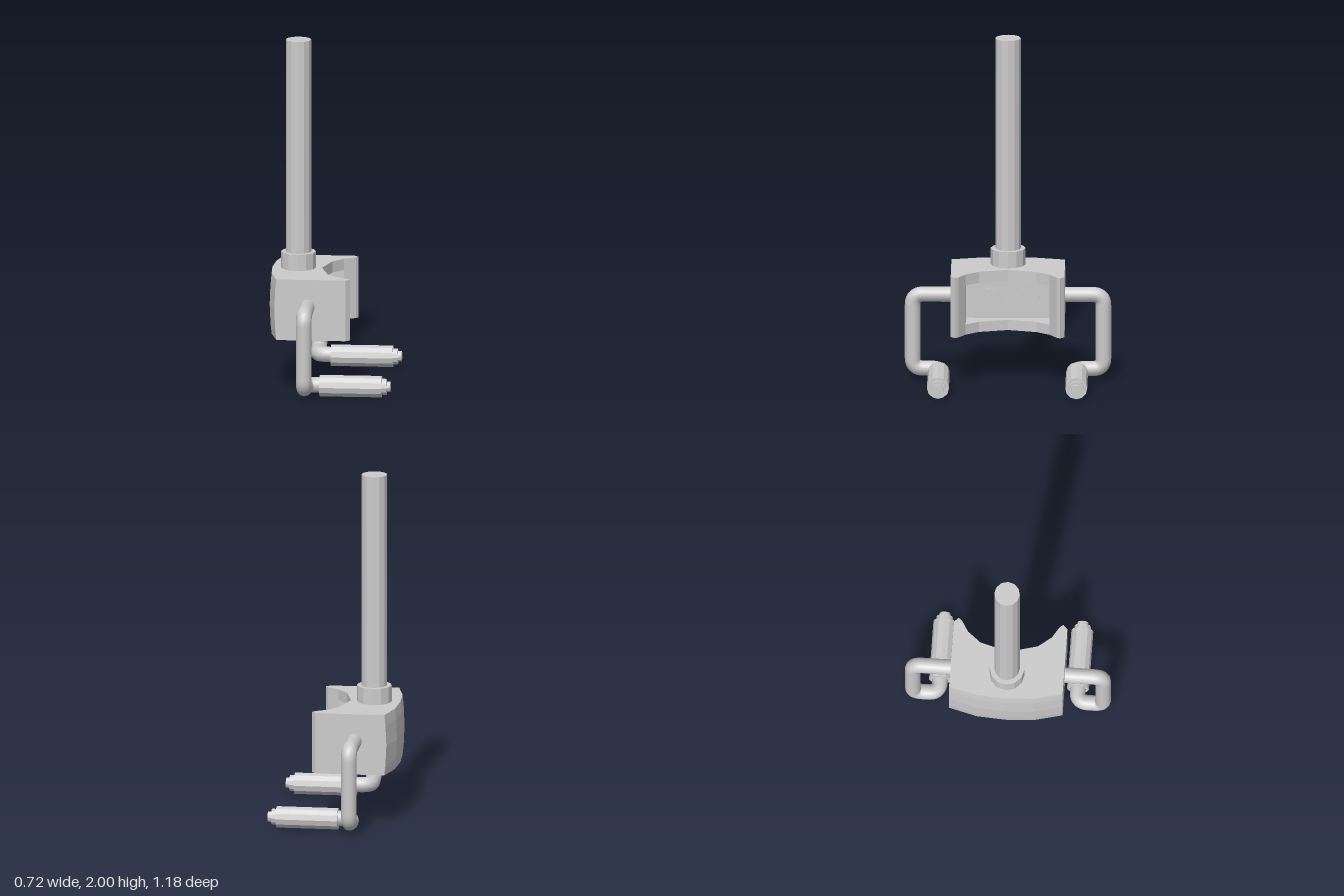
import * as THREE from 'three';

export function createModel() {
  const model = new THREE.Group();
  const flat = new THREE.MeshStandardMaterial({ color: 0xcccccc, flatShading: true, side: THREE.DoubleSide });
  const smooth = new THREE.MeshStandardMaterial({ color: 0xcccccc });

  const add = (name, geometry, material = flat, parent = model) => {
    const mesh = new THREE.Mesh(geometry, material);
    mesh.name = name;
    parent.add(mesh);
    return mesh;
  };

  // Upright pole and its collar
  const upright = (name, r, y0, y1) =>
    add(name, new THREE.CylinderGeometry(r, r, y1 - y0, 12)).position.set(-0.2, (y0 + y1) / 2, 0);
  upright('pole', 0.073, 0.74, 2);
  upright('collar', 0.1, 0.64, 0.76);

  // Curved body: solid top and bottom plates, with a pocketed layer between them
  const back = [[-0.35, 0], [-0.34, 0.165], [-0.3, 0.325]];
  const horn = [[0.095, 0.325], [0.12, 0.3], [0.105, 0.28], [0.04, 0.24]];
  const concave = [[-0.02, 0.165], [-0.065, 0]];
  const pocket = [[-0.11, 0.24]];
  const body = new THREE.Group();
  body.name = 'body';
  model.add(body);

  const layer = (name, front, y0, y1) => {
    const half = [...back, ...horn, ...front];
    const other = half.filter(p => p[1] > 0).reverse().map(([x, z]) => [x, -z]);
    const shape = new THREE.Shape([...half, ...other].map(([x, z]) => new THREE.Vector2(x, z)));
    const geo = new THREE.ExtrudeGeometry(shape, { depth: y1 - y0, steps: 2, bevelEnabled: false });
    geo.rotateX(-Math.PI / 2).translate(0, y0, 0);
    // The back face bulges gently at mid height
    const pos = geo.attributes.position;
    for (let i = 0; i < pos.count; i++) {
      if (pos.getX(i) > -0.25) continue;
      const t = (pos.getY(i) - 0.4875) / 0.178;
      pos.setX(i, pos.getX(i) - 0.012 * (1 - t * t));
    }
    geo.computeVertexNormals();
    add(name, geo, flat, body);
  };
  layer('bottomPlate', concave, 0.31, 0.37);
  layer('pocketWall', pocket, 0.37, 0.6);
  layer('topPlate', concave, 0.6, 0.665);

  // Round studs on the pocket wall
  for (const z of [-0.11, 0.11]) {
    const stud = add('stud', new THREE.CylinderGeometry(0.073, 0.073, 0.03, 24), flat, body);
    stud.rotation.z = -Math.PI / 2;
    stud.position.set(-0.118, 0.47, z);
  }

  // Path through corners with rounded bends
  const bentPath = (points, r) => {
    const path = new THREE.CurvePath();
    let from = points[0];
    for (let i = 1; i < points.length - 1; i++) {
      const p = points[i];
      const a = p.clone().add(points[i - 1].clone().sub(p).setLength(r));
      const b = p.clone().add(points[i + 1].clone().sub(p).setLength(r));
      path.add(new THREE.LineCurve3(from, a));
      path.add(new THREE.QuadraticBezierCurve3(a, p, b));
      from = b;
    }
    path.add(new THREE.LineCurve3(from, points[points.length - 1]));
    return path;
  };

  // Bent arms with stepped grips, one on each side
  for (const s of [1, -1]) {
    const side = new THREE.Group();
    side.name = s > 0 ? 'frontArm' : 'rearArm';
    model.add(side);
    const corners = [
      [-0.125, 0.505, 0.28], [-0.125, 0.505, 0.545], [-0.125, 0.068, 0.545],
      [-0.125, 0.068, 0.395], [-0.02, 0.068, 0.395],
    ].map(([x, y, z]) => new THREE.Vector3(x, y, z * s));
    add('arm', new THREE.TubeGeometry(bentPath(corners, 0.06), 72, 0.045, 12), smooth, side);

    const profile = [
      [0, -0.045], [0.063, -0.045], [0.063, 0.31], [0.047, 0.31],
      [0.047, 0.338], [0.031, 0.338], [0.031, 0.36], [0, 0.36],
    ].map(([r, x]) => new THREE.Vector2(r, x));
    const grip = add('grip', new THREE.LatheGeometry(profile, 12), flat, side);
    grip.rotation.z = -Math.PI / 2;
    grip.position.set(0, 0.064, 0.395 * s);
  }

  return model;
}
